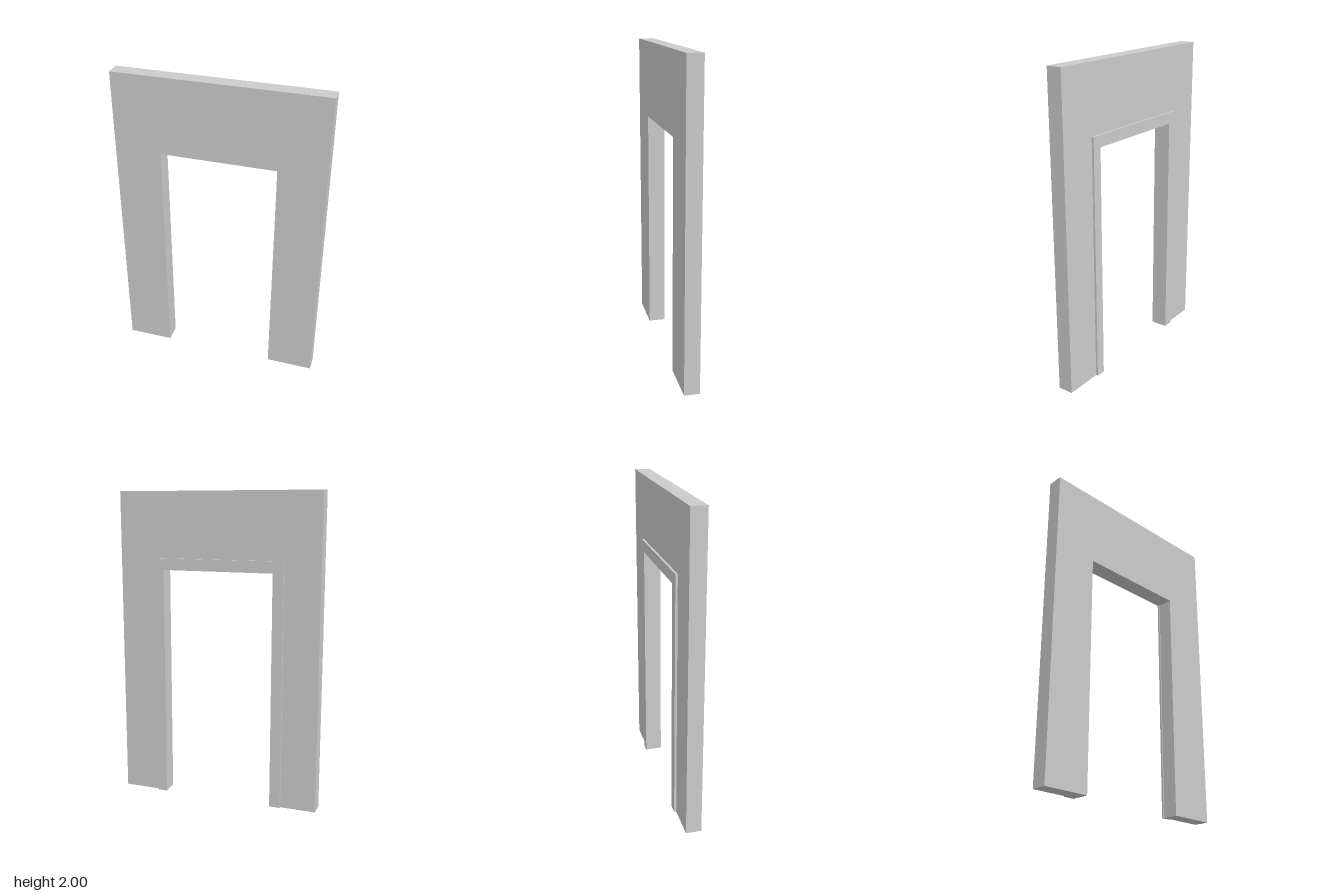
import * as THREE from 'three';

const material = new THREE.MeshStandardMaterial({ color: 0xcccccc, flatShading: true });

// Upside-down U slab: outer and inner x limits, outer and inner heights, z range
function portal(name, [outL, outR, outTop], [inL, inR, inTop], z0, z1) {
  const shape = new THREE.Shape([
    [outL, 0], [inL, 0], [inL, inTop], [inR, inTop],
    [inR, 0], [outR, 0], [outR, outTop], [outL, outTop],
  ].map(([x, y]) => new THREE.Vector2(x, y)));
  const geometry = new THREE.ExtrudeGeometry(shape, { depth: z1 - z0, bevelEnabled: false });
  geometry.translate(0, 0, z0);
  const mesh = new THREE.Mesh(geometry, material);
  mesh.name = name;
  return mesh;
}

export function createModel() {
  const group = new THREE.Group();
  group.name = 'doorway';
  // Wall with the door opening
  group.add(portal('wall', [-0.666, 0.666, 2], [-0.368, 0.365, 1.505], -0.042, 0.056));
  // Thin trim around the opening on the back
  group.add(portal('doorTrim', [-0.438, 0.422, 1.579], [-0.368, 0.36, 1.505], -0.056, -0.042));
  return group;
}
